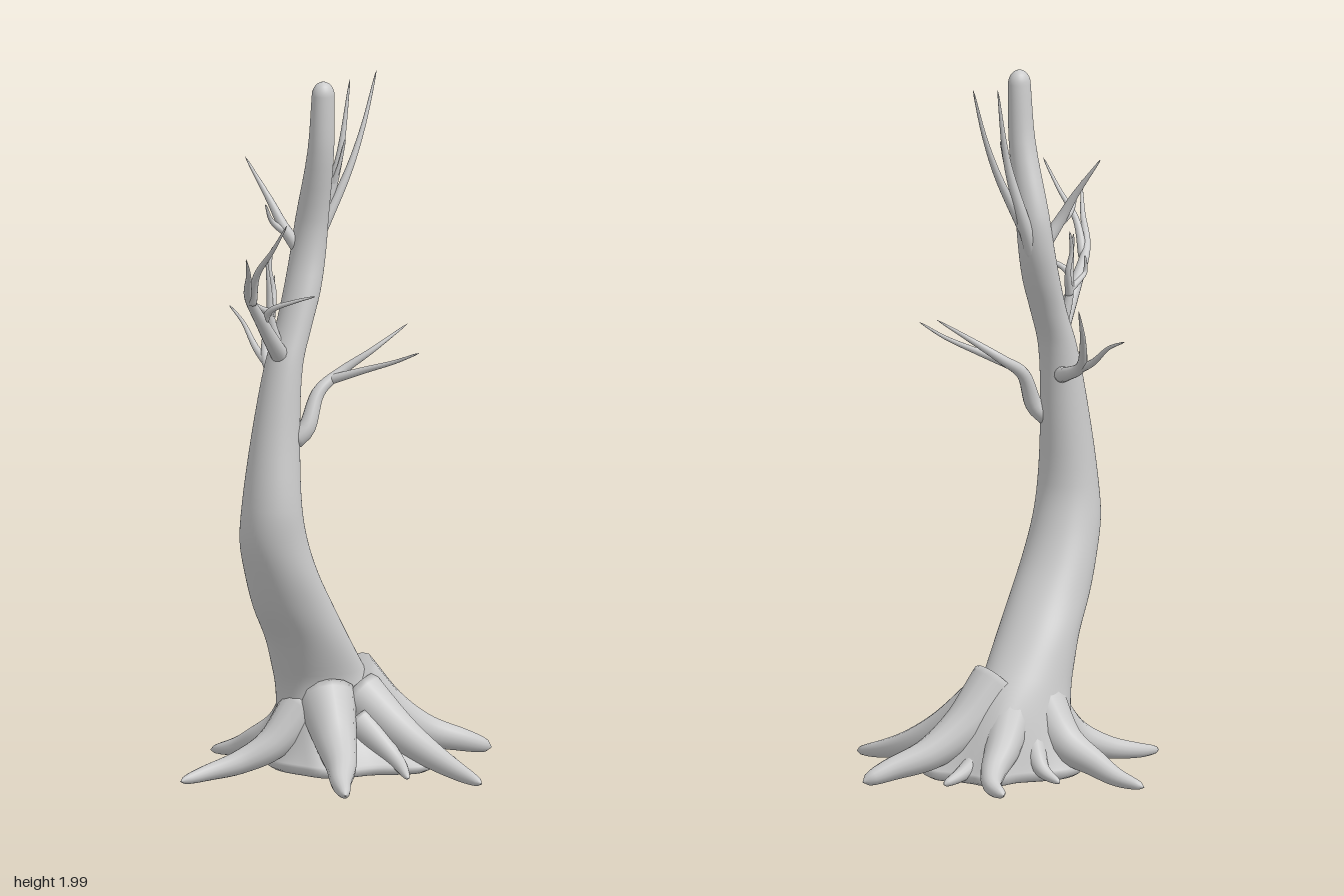
import * as THREE from 'three';

const V = (p) => new THREE.Vector3(...p);
const material = new THREE.MeshStandardMaterial({ color: 0xcccccc });

// Skin a list of closed rings (ordered bottom to top) with smooth normals
function loft(rings) {
  const n = rings[0].length;
  const index = [];
  for (let r = 0; r < rings.length - 1; r++) {
    for (let i = 0; i < n; i++) {
      const j = (i + 1) % n;
      const a = r * n + i, b = (r + 1) * n + i, c = r * n + j, d = (r + 1) * n + j;
      index.push(a, b, c, c, b, d);
    }
  }
  const geometry = new THREE.BufferGeometry().setFromPoints(rings.flat());
  geometry.setIndex(index);
  geometry.computeVertexNormals();
  return geometry;
}

// Trunk sections from the flare upwards: [y, centre x, centre z, half width x, half width z]
const sections = [
  [0.30, -0.012, -0.048, 0.137, 0.107],
  [0.40, -0.07, -0.02, 0.12, 0.11],
  [0.50, -0.135, 0.008, 0.115, 0.107],
  [0.60, -0.188, 0.03, 0.103, 0.105],
  [0.70, -0.225, 0.045, 0.095, 0.098],
  [0.80, -0.238, 0.055, 0.083, 0.09],
  [1.00, -0.222, 0.05, 0.068, 0.07],
  [1.20, -0.19, 0.043, 0.052, 0.058],
  [1.30, -0.153, 0.035, 0.049, 0.055],
  [1.40, -0.115, 0.022, 0.05, 0.057],
  [1.50, -0.087, 0.01, 0.048, 0.055],
  [1.60, -0.075, 0.013, 0.044, 0.052],
  [1.80, -0.078, 0.062, 0.037, 0.038],
  [1.96, -0.078, 0.074, 0.033, 0.03],
];

// Outline [x, z] of the flared foot between the roots
const outline = [
  [0.29, 0.05], [0.26, 0.1], [0.24, 0.14], [0.22, 0.19], [0.165, 0.22], [0.09, 0.195], [0.03, 0.165],
  [-0.05, 0.16], [-0.115, 0.13], [-0.14, 0.06], [-0.16, -0.03], [-0.15, -0.1], [-0.11, -0.16],
  [-0.065, -0.215], [0, -0.23], [0.06, -0.215], [0.14, -0.185], [0.2, -0.185], [0.24, -0.155],
  [0.25, -0.11], [0.27, -0.06], [0.3, -0.005],
];

function trunkGeometry() {
  const N = 96, cx = 0.05, cz = -0.02, tau = Math.PI * 2;
  const curve = new THREE.CatmullRomCurve3(outline.map(([x, z]) => V([x, 0.045, z])), true, 'centripetal');
  const edge = Array.from({ length: N }, (_, i) => curve.getPoint(i / N));
  const raw = edge.map((p) => Math.atan2(p.z - cz, p.x - cx));
  const angles = raw.map((a) => raw[0] + ((a - raw[0] + tau) % tau)).sort((a, b) => a - b);
  const ellipse = ([y, x, z, rx, rz]) => angles.map((a) => V([x + rx * Math.cos(a), y, z + rz * Math.sin(a)]));
  const rings = [];

  // Underside
  for (const [k, y] of [[0, 0.04], [0.4, 0.035], [0.75, 0.025], [0.92, 0.022], [0.98, 0.03]]) {
    rings.push(edge.map((p) => V([cx + (p.x - cx) * k, y, cz + (p.z - cz) * k])));
  }
  // Flared foot: continues the lean of the trunk, then sweeps out to the edge
  const inner = ellipse(sections[0]), above = ellipse(sections[1]);
  const sweeps = edge.map((p, i) => {
    const down = inner[i].clone().multiplyScalar(2).sub(above[i]);
    const out = down.clone().lerp(p, 0.5).setY(0.09);
    return new THREE.CubicBezierCurve3(p, out, down, inner[i]);
  });
  for (let j = 0; j < 20; j++) rings.push(sweeps.map((sweep) => sweep.getPoint(j / 20)));
  // Leaning trunk
  const centre = new THREE.CatmullRomCurve3(sections.map(([y, x, z]) => V([x, y, z])));
  const radii = new THREE.CatmullRomCurve3(sections.map(([y, , , rx, rz]) => V([rx, y, rz])));
  for (let j = 0; j <= 52; j++) {
    const c = centre.getPoint(j / 52), r = radii.getPoint(j / 52);
    rings.push(ellipse([c.y, c.x, c.z, r.x, r.z]));
  }
  // Rounded top
  const [ty, tx, tz, rx, rz] = sections[sections.length - 1];
  for (let j = 1; j <= 6; j++) {
    const a = (j / 6) * Math.PI / 2, k = Math.cos(a);
    rings.push(ellipse([ty + 0.04 * Math.sin(a), tx, tz, rx * k, rz * k]));
  }
  return loft(rings);
}

// Tapered tube through a few points, with a rounded tip
function limbGeometry(r0, r1, points) {
  const curve = new THREE.CatmullRomCurve3(points.map(V));
  const segments = 28, sides = 14;
  const { normals, binormals } = curve.computeFrenetFrames(segments, false);
  const ring = (j, radius) => {
    const c = curve.getPointAt(j / segments);
    return Array.from({ length: sides }, (_, i) => {
      const a = (-i / sides) * Math.PI * 2;
      return c.clone().addScaledVector(normals[j], radius * Math.cos(a)).addScaledVector(binormals[j], radius * Math.sin(a));
    });
  };
  const rings = [ring(0, 0)];
  for (let j = 0; j <= segments; j++) {
    const t = j / segments;
    rings.push(ring(j, (r1 + (r0 - r1) * Math.pow(1 - t, 1.2)) * Math.sqrt(1 - Math.pow(t, 16))));
  }
  return loft(rings);
}

// Each limb: list of [base radius, tip radius, path]
const limbs = {
  largeRoots: [
    [0.085, 0.025, [[0.08, 0.27, -0.03], [0.2, 0.165, -0.02], [0.31, 0.1, 0], [0.42, 0.065, 0.035], [0.505, 0.038, 0.052]]],
    [0.075, 0.017, [[0.08, 0.23, 0.01], [0.145, 0.13, 0.13], [0.185, 0.075, 0.23], [0.207, 0.042, 0.33], [0.22, 0.021, 0.43]]],
    [0.085, 0.019, [[-0.02, 0.23, 0], [-0.055, 0.125, 0.1], [-0.095, 0.07, 0.19], [-0.155, 0.04, 0.28], [-0.2, 0.021, 0.37]]],
    [0.065, 0.015, [[-0.07, 0.2, -0.04], [-0.17, 0.1, -0.05], [-0.26, 0.055, -0.075], [-0.36, 0.032, -0.092], [-0.455, 0.018, -0.083]]],
    [0.08, 0.016, [[-0.01, 0.23, -0.09], [-0.03, 0.12, -0.19], [-0.065, 0.07, -0.28], [-0.085, 0.04, -0.35], [-0.12, 0.02, -0.433]]],
    [0.08, 0.019, [[0.06, 0.23, -0.07], [0.16, 0.12, -0.145], [0.23, 0.07, -0.19], [0.272, 0.045, -0.24], [0.28, 0.03, -0.303]]],
  ],
  smallRoots: [
    [0.05, 0.012, [[0.12, 0.14, -0.06], [0.24, 0.06, -0.085], [0.327, 0.03, -0.09]]],
    [0.05, 0.01, [[0.14, 0.15, 0.03], [0.26, 0.06, 0.075], [0.348, 0.025, 0.116]]],
    [0.05, 0.01, [[0.12, 0.15, 0.06], [0.22, 0.06, 0.14], [0.273, 0.025, 0.203]]],
    [0.05, 0.01, [[0.05, 0.16, 0.06], [0.1, 0.06, 0.18], [0.08, 0.025, 0.268]]],
    [0.05, 0.01, [[0.05, 0.15, -0.13], [0.07, 0.06, -0.21], [0.058, 0.03, -0.277]]],
  ],
  rightLimb: [
    [0.027, 0.003, [[-0.2, 1.22, 0.05], [-0.24, 1.26, 0.075], [-0.31, 1.345, 0.11], [-0.38, 1.43, 0.15], [-0.44, 1.51, 0.24], [-0.505, 1.577, 0.325]]],
    [0.014, 0.003, [[-0.365, 1.41, 0.145], [-0.385, 1.5, 0.2], [-0.378, 1.58, 0.27], [-0.37, 1.66, 0.33]]],
    [0.012, 0.003, [[-0.3, 1.335, 0.105], [-0.3, 1.38, 0.14], [-0.265, 1.41, 0.2], [-0.22, 1.43, 0.25]]],
  ],
  rightTwigs: [
    [0.018, 0.004, [[-0.2, 1.22, 0.05], [-0.23, 1.33, 0.04], [-0.237, 1.42, 0.04], [-0.25, 1.51, 0.045]]],
    [0.012, 0.004, [[-0.23, 1.34, 0.04], [-0.21, 1.41, 0.02], [-0.215, 1.47, 0.01], [-0.2, 1.53, 0]]],
    [0.011, 0.004, [[-0.23, 1.35, 0.04], [-0.28, 1.375, 0.05], [-0.3, 1.39, 0.055], [-0.295, 1.44, 0.05]]],
  ],
  frontLimb: [
    [0.028, 0.003, [[-0.18, 0.99, 0.08], [-0.15, 1.02, 0.095], [-0.1, 1.12, 0.085], [-0.03, 1.17, 0.09], [0.05, 1.23, 0.13], [0.155, 1.3, 0.155]]],
    [0.014, 0.003, [[-0.06, 1.15, 0.085], [0, 1.185, 0.17], [0.045, 1.215, 0.25], [0.075, 1.25, 0.33]]],
  ],
  backLimb: [
    [0.024, 0.003, [[-0.18, 1.12, 0.01], [-0.14, 1.14, -0.06], [-0.125, 1.175, -0.14], [-0.07, 1.27, -0.22], [0.01, 1.385, -0.3]]],
    [0.014, 0.003, [[-0.13, 1.16, -0.11], [-0.12, 1.2, -0.2], [-0.105, 1.26, -0.29], [-0.095, 1.295, -0.375]]],
  ],
  upperLeftLimb: [
    [0.024, 0.003, [[-0.07, 1.48, 0], [-0.02, 1.6, -0.01], [0.025, 1.76, 0], [0.072, 1.98, -0.015]]],
    [0.017, 0.003, [[-0.04, 1.55, 0], [0.05, 1.72, 0.008], [0.105, 1.84, 0], [0.165, 1.995, -0.02]]],
    [0.009, 0.003, [[0, 1.67, -0.005], [0.015, 1.74, 0.015], [0.03, 1.82, 0.025]]],
  ],
  upperRightLimb: [
    [0.023, 0.003, [[-0.09, 1.49, 0], [-0.14, 1.57, -0.025], [-0.165, 1.65, -0.065], [-0.195, 1.765, -0.145]]],
    [0.013, 0.003, [[-0.13, 1.555, -0.02], [-0.18, 1.595, -0.03], [-0.21, 1.65, -0.02]]],
  ],
};

export function createModel() {
  const tree = new THREE.Group();
  tree.name = 'bareTree';
  const trunk = new THREE.Mesh(trunkGeometry(), material);
  trunk.name = 'trunk';
  tree.add(trunk);
  for (const [name, parts] of Object.entries(limbs)) {
    const limb = new THREE.Group();
    limb.name = name;
    const part = name.endsWith('Roots') ? 'root' : 'branch';
    parts.forEach((shape, i) => {
      const mesh = new THREE.Mesh(limbGeometry(...shape), material);
      mesh.name = part + (i + 1);
      limb.add(mesh);
    });
    tree.add(limb);
  }
  return tree;
}
